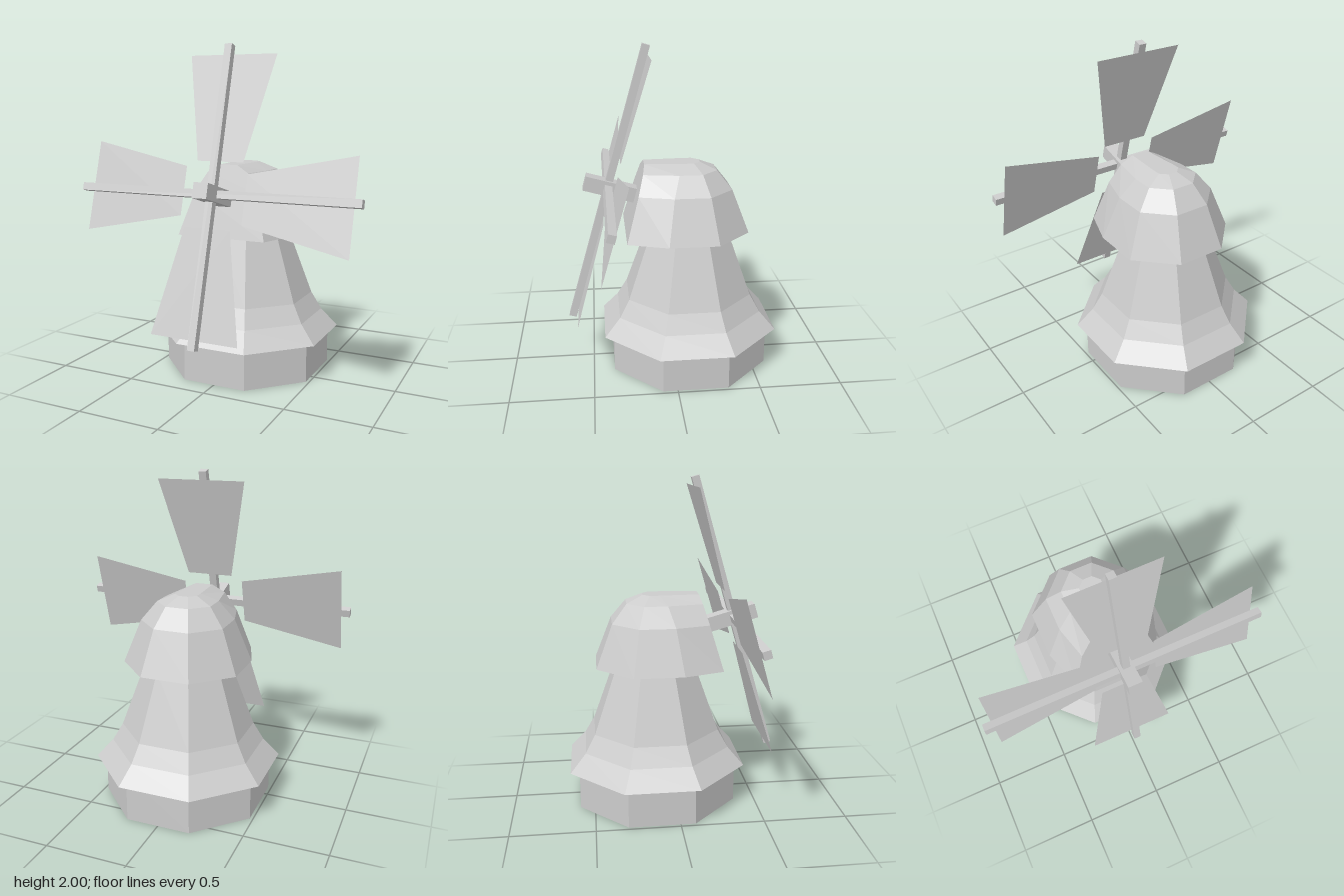
import * as THREE from 'three';

const TOWER_Z = -0.11;
const TILT = THREE.MathUtils.degToRad(16);
const solid = new THREE.MeshStandardMaterial({ color: 0xcccccc, flatShading: true });
const shell = new THREE.MeshStandardMaterial({ color: 0xcccccc, flatShading: true, side: THREE.DoubleSide });

// Eight-sided shell from [half width across flats, height] pairs, bottom to top
function octagon(profile) {
  const points = profile.map(([a, y]) => new THREE.Vector2(a / Math.cos(Math.PI / 8), y));
  return new THREE.LatheGeometry(points, 8, Math.PI / 8);
}

function addPart(parent, name, geometry, material) {
  const mesh = new THREE.Mesh(geometry, material);
  mesh.name = name;
  parent.add(mesh);
  return mesh;
}

function flat(geometry) {
  const g = geometry.toNonIndexed();
  g.computeVertexNormals();
  return g;
}

// Domed cap whose front corners are pulled out to a sloping flat face
function capGeometry() {
  const g = octagon([[0.36, 0.875], [0.26, 1.14], [0.17, 1.255], [0.07, 1.3], [0, 1.3]]);
  const p = g.attributes.position;
  for (let i = 0; i < p.count; i++) {
    const x = p.getX(i), y = p.getY(i), z = p.getZ(i);
    if (z > 0.01 && z > Math.abs(x) * 1.5) {
      p.setX(i, (Math.sign(x) * z) * 0.78);
      p.setZ(i, 0.28 - (y - 0.875) * 0.282 - TOWER_Z);
    }
  }
  return flat(g);
}

export function createModel() {
  const model = new THREE.Group();
  model.name = 'windmill';

  // Tower
  const tower = new THREE.Group();
  tower.name = 'tower';
  tower.position.z = TOWER_Z;
  model.add(tower);
  addPart(tower, 'baseWall', flat(octagon([[0.48, 0], [0.48, 0.3]])), shell);
  addPart(tower, 'body', flat(octagon([[0.535, 0.24], [0.44, 0.35], [0.38, 0.46], [0.24, 0.87], [0.17, 1.08]])), shell);
  addPart(tower, 'cap', capGeometry(), shell);

  // Rotor, leaning back with its shaft pointing slightly upward
  const rotor = new THREE.Group();
  rotor.name = 'rotor';
  rotor.position.set(0, 1.148, 0.382);
  rotor.rotation.x = -TILT;
  model.add(rotor);
  addPart(rotor, 'shaft', new THREE.BoxGeometry(0.09, 0.09, 0.32), solid).position.z = -0.015;
  addPart(rotor, 'verticalSpar', new THREE.BoxGeometry(0.046, 1.768, 0.046), solid);
  addPart(rotor, 'horizontalSpar', new THREE.BoxGeometry(1.768, 0.046, 0.046), solid);

  // Four slightly lopsided sails on the back of the spars
  const sailShape = new THREE.Shape([
    [-0.13, 0.197], [0.163, 0.197], [0.295, 0.832], [-0.26, 0.832],
  ].map(([x, y]) => new THREE.Vector2(x, y)));
  const sailGeometry = new THREE.ShapeGeometry(sailShape);
  for (let i = 0; i < 4; i++) {
    const sail = addPart(rotor, 'sail', sailGeometry, shell);
    sail.position.z = -0.024;
    sail.rotation.z = i * Math.PI / 2;
  }
  return model;
}
